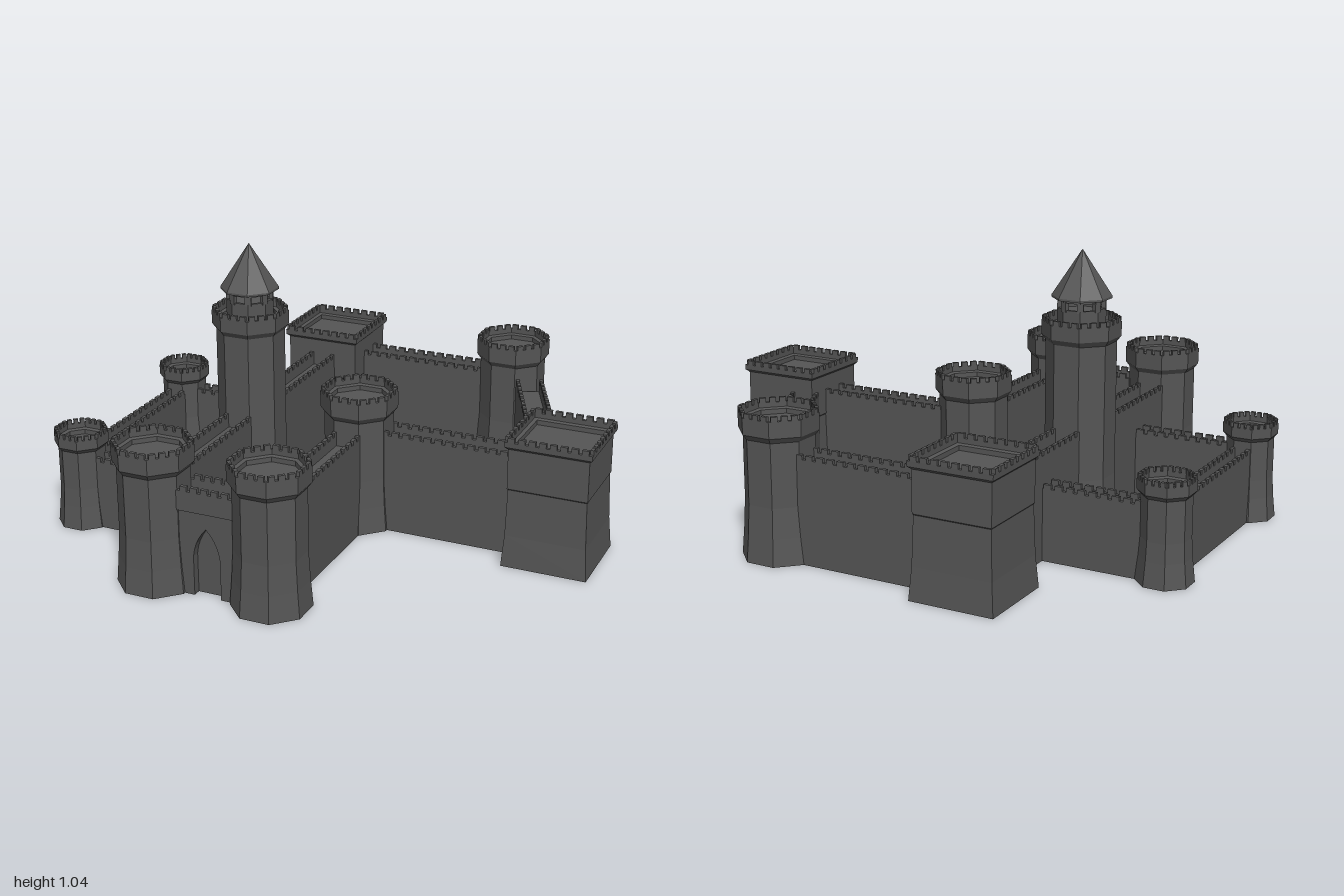
import * as THREE from 'three';

const stone = new THREE.MeshStandardMaterial({ color: 0x555555, flatShading: true, side: THREE.DoubleSide });
stone.name = 'dark stone';

function add(parent, name, geometry, x = 0, y = 0, z = 0) {
  const mesh = new THREE.Mesh(geometry, stone);
  mesh.name = name;
  mesh.position.set(x, y, z);
  parent.add(mesh);
  return mesh;
}

// Faceted solid of n sides; profile is [apothem, height] pairs
function prism(n, profile) {
  const k = 1 / Math.cos(Math.PI / n);
  return new THREE.LatheGeometry(profile.map(([r, y]) => new THREE.Vector2(r * k, y)), n, Math.PI / n);
}

// Row of merlons along a straight line from a to b (x, z)
function merlons(parent, a, b, y, count, thick, fill = 0.66, high = 0.017) {
  const dx = b[0] - a[0], dz = b[1] - a[1];
  const step = Math.hypot(dx, dz) / count;
  for (let i = 0; i < count; i++) {
    const t = (i + 0.5) / count;
    const m = add(parent, 'merlon', new THREE.BoxGeometry(step * fill, high, thick),
      a[0] + dx * t, y + high / 2, a[1] + dz * t);
    m.rotation.y = -Math.atan2(dz, dx);
  }
}

// Tower with a crenellated collar; the underside is open
function tower(parent, name, x, z, n, profile, r, top, perSide) {
  const g = new THREE.Group();
  g.name = name;
  g.position.set(x, 0, z);
  parent.add(g);
  const rim = top - 0.017, t = 0.013;
  add(g, 'towerBody', prism(n, [...profile, [r, rim], [r - t, rim], [r - t, rim - 0.018],
    [r - 2 * t, rim - 0.022], [r - 2 * t, rim - 0.04], [0, rim - 0.04]]));
  const c = (r - t / 2) / Math.cos(Math.PI / n);
  const corner = i => {
    const a = Math.PI / n + i * 2 * Math.PI / n;
    return [Math.sin(a) * c, Math.cos(a) * c];
  };
  for (let i = 0; i < n; i++) merlons(g, corner(i), corner(i + 1), rim, perSide, t);
  return g;
}

// Curtain wall with a sunken walkway between two parapets
function wall(parent, name, a, b, half, top, walk) {
  const g = new THREE.Group();
  g.name = name;
  parent.add(g);
  const dx = b[0] - a[0], dz = b[1] - a[1], len = Math.hypot(dx, dz);
  const nx = -dz / len, nz = dx / len, t = 0.014, rim = top - 0.015;
  const section = [[half, 0], [half, rim], [half - t, rim], [half - t, walk],
    [t - half, walk], [t - half, rim], [-half, rim], [-half, 0]];
  const pos = [];
  for (let i = 0; i < section.length - 1; i++) {
    const [p, q] = [section[i], section[i + 1]];
    const at = (e, s) => [e[0] + nx * s[0], s[1], e[1] + nz * s[0]];
    const [A, B, C, D] = [at(a, p), at(b, p), at(b, q), at(a, q)];
    pos.push(...A, ...B, ...C, ...A, ...C, ...D);
  }
  const geo = new THREE.BufferGeometry();
  geo.setAttribute('position', new THREE.Float32BufferAttribute(pos, 3));
  geo.computeVertexNormals();
  add(g, 'wallBody', geo);
  for (const s of [1, -1]) {
    const o = s * (half - t / 2);
    merlons(g, [a[0] + nx * o, a[1] + nz * o], [b[0] + nx * o, b[1] + nz * o],
      rim, Math.round(len / 0.042), t, 0.66, 0.015);
  }
}

// Pointed arch outline, centred on x = 0
function arch(path, w, spring, peak) {
  path.moveTo(-w, 0);
  path.lineTo(-w, spring);
  path.quadraticCurveTo(-w * 0.85, spring + (peak - spring) * 0.6, 0, peak);
  path.quadraticCurveTo(w * 0.85, spring + (peak - spring) * 0.6, w, spring);
  path.lineTo(w, 0);
  return path;
}

function gate(parent) {
  const g = new THREE.Group();
  g.name = 'gatehouse';
  g.position.set(-0.175, 0, 0.775);
  parent.add(g);
  const front = arch(new THREE.Shape(), 0.052, 0.15, 0.26);
  front.lineTo(0.12, 0);
  front.lineTo(0.12, 0.345);
  front.lineTo(-0.12, 0.345);
  front.lineTo(-0.12, 0);
  add(g, 'gateWall', new THREE.ExtrudeGeometry(front, { depth: 0.1, bevelEnabled: false, curveSegments: 5 }), 0, 0, -0.05);
  add(g, 'gateDoor', new THREE.ShapeGeometry(arch(new THREE.Shape(), 0.052, 0.15, 0.26), 5), 0, 0, 0.02);
  for (const s of [1, -1]) {
    add(g, 'gateParapet', new THREE.BoxGeometry(0.22, 0.075, 0.014), 0, 0.3575, s * 0.051);
    merlons(g, [-0.1, s * 0.051], [0.1, s * 0.051], 0.395, 5, 0.014);
  }
}

export function createModel() {
  const castle = new THREE.Group();
  castle.name = 'castle';

  // Eight-sided towers
  const round = [[0.134, 0], [0.126, 0.1], [0.12, 0.21], [0.12, 0.445], [0.134, 0.465]];
  const spots = { frontRightTower: [-0.4, 0.78], frontLeftTower: [0.05, 0.78],
    innerTower: [0.05, 0.03], backTower: [0.385, -0.757] };
  for (const [name, [x, z]] of Object.entries(spots)) tower(castle, name, x, z, 8, round, 0.135, 0.543, 3);

  // Small towers of the outer yard
  const small = [[0.095, 0], [0.086, 0.09], [0.082, 0.16], [0.082, 0.31], [0.094, 0.325]];
  for (const z of [-0.335, 0.455]) tower(castle, 'outerTower', -0.905, z, 8, small, 0.095, 0.38, 3);

  // Square towers
  const square = [[0.16, 0], [0.151, 0.12], [0.146, 0.298], [0.149, 0.302], [0.149, 0.455], [0.16, 0.465]];
  tower(castle, 'backSquareTower', -0.4, -0.76, 4, square, 0.161, 0.502, 8);
  tower(castle, 'sideSquareTower', 0.833, 0.02, 4, square, 0.161, 0.502, 8);

  // Keep with an open lantern and a pointed roof
  const keep = tower(castle, 'keep', -0.4, 0.03, 8,
    [[0.134, 0], [0.126, 0.1], [0.12, 0.21], [0.12, 0.71], [0.134, 0.73]], 0.135, 0.8, 3);
  add(keep, 'lanternDrum', prism(8, [[0.082, 0.74], [0.082, 0.832], [0.07, 0.832], [0.07, 0.82], [0, 0.82]]));
  add(keep, 'lanternRing', prism(8, [[0.068, 0.858], [0.082, 0.858], [0.082, 0.875]]));
  for (let i = 0; i < 8; i++) {
    const a = (i + 0.5) * Math.PI / 4;
    const post = add(keep, 'lanternPost', new THREE.BoxGeometry(0.024, 0.04, 0.016),
      Math.sin(a) * 0.08, 0.845, Math.cos(a) * 0.08);
    post.rotation.y = a;
  }
  add(keep, 'roof', prism(8, [[0, 0.868], [0.102, 0.868], [0.102, 0.876], [0, 1.045]]));

  // Main curtain walls
  const main = [
    ['rightFrontWall', [-0.4, 0.68], [-0.4, 0.13]],
    ['rightBackWall', [-0.4, -0.07], [-0.4, -0.63]],
    ['backWall', [-0.27, -0.76], [0.285, -0.76]],
    ['slantedWall', [0.485, -0.672], [0.73, -0.109]],
    ['courtWall', [0.15, 0.02], [0.7, 0.02]],
    ['leftFrontWall', [0.05, 0.13], [0.05, 0.68]],
  ];
  for (const [name, a, b] of main) wall(castle, name, a, b, 0.054, 0.4, 0.345);

  // Low walls of the outer yard
  wall(castle, 'outerBackWall', [-0.84, -0.335], [-0.45, -0.335], 0.037, 0.283, 0.24);
  wall(castle, 'outerFrontWall', [-0.84, 0.452], [-0.45, 0.452], 0.037, 0.283, 0.24);
  wall(castle, 'outerSideWall', [-0.9, -0.26], [-0.9, 0.38], 0.037, 0.283, 0.24);

  gate(castle);

  // Courtyard floor, cut around the towers
  const yard = [[-0.35, 0.65], [-0.29, 0.72], [-0.06, 0.72], [0, 0.65], [0, 0.15], [-0.08, 0.08],
    [-0.08, -0.02], [0, -0.1], [0.1, -0.1], [0.17, -0.03], [0.675, -0.03], [0.675, -0.12],
    [0.44, -0.64], [0.33, -0.63], [0.255, -0.706], [-0.245, -0.706], [-0.245, -0.605], [-0.35, -0.605],
    [-0.35, -0.1], [-0.27, -0.02], [-0.27, 0.08], [-0.35, 0.16]];
  const floor = new THREE.ShapeGeometry(new THREE.Shape(yard.map(([x, z]) => new THREE.Vector2(x, -z))));
  add(castle, 'courtyardFloor', floor.rotateX(-Math.PI / 2), 0, 0.003, 0);

  return castle;
}
